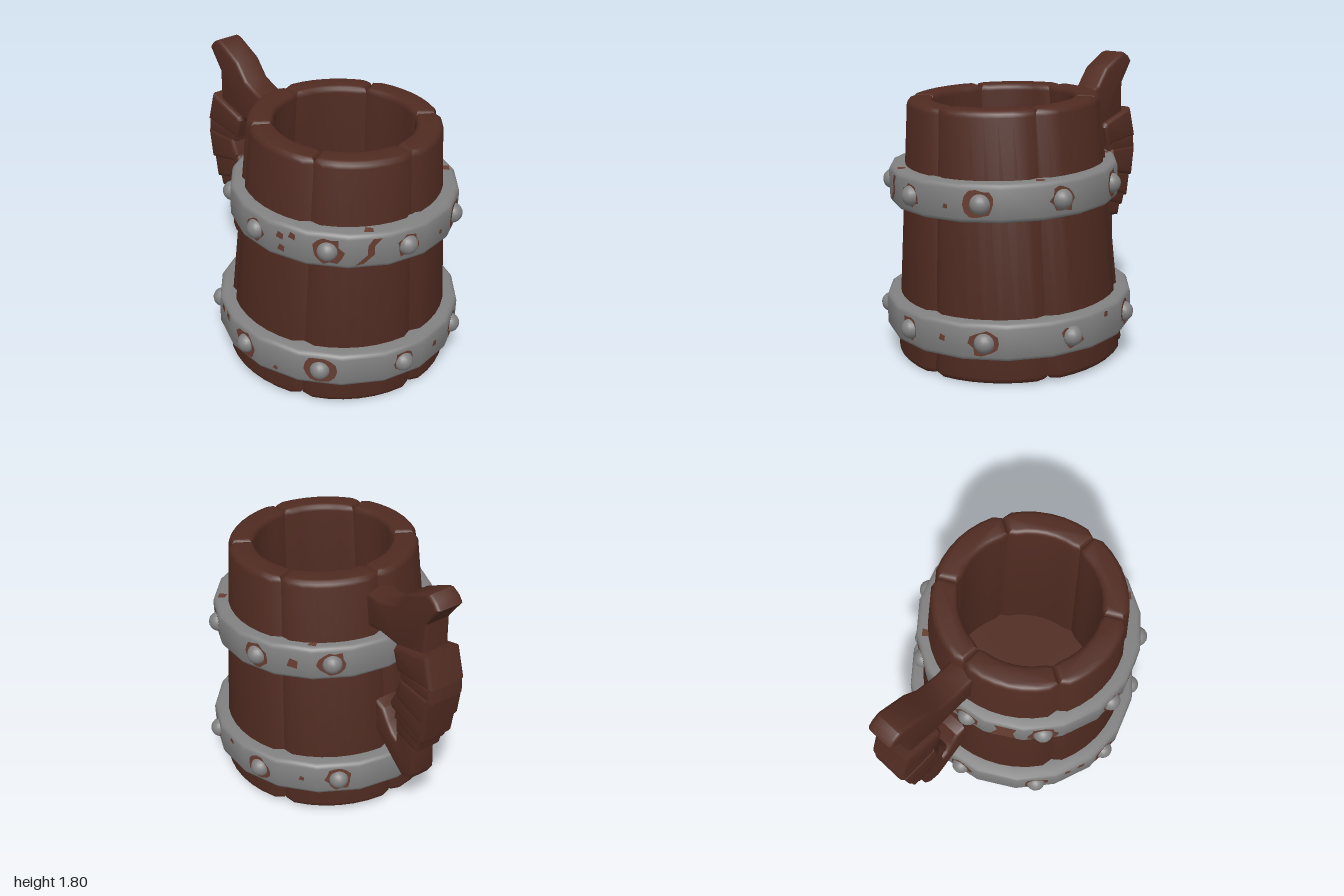
import * as THREE from 'three';
import { toCreasedNormals } from 'three/addons/utils/BufferGeometryUtils.js';

const wood = new THREE.MeshStandardMaterial({ color: 0x502b21 });
wood.name = 'wood';
const iron = new THREE.MeshStandardMaterial({ color: 0x808080 });
iron.name = 'iron';
const rust = new THREE.MeshStandardMaterial({ color: 0x673d31 });
rust.name = 'rust';

const CENTRE_Z = -0.025;
const BASE_R = 0.71, TOP_R = 0.585, HEIGHT = 1.595;

let seed = 7;
function rand() {
  seed = (seed * 16807) % 2147483647;
  return seed / 2147483647;
}

function add(parent, name, geometry, material) {
  const mesh = new THREE.Mesh(geometry, material);
  mesh.name = name;
  parent.add(mesh);
  return mesh;
}

const toShape = pts => new THREE.Shape(pts.map(p => new THREE.Vector2(p[0], p[1])));

// Extruded outline with rounded rims, kept inside the outline
function bevelled(pts, depth, bevel) {
  const g = new THREE.ExtrudeGeometry(toShape(pts), {
    depth: depth - 2 * bevel, bevelThickness: bevel, bevelSize: bevel,
    bevelOffset: -bevel, bevelSegments: 3, steps: 1,
  });
  return g.translate(0, 0, bevel);
}

// One curved stave, rolling off softly to its seams and narrowing upward
function staveGeometry() {
  const half = Math.PI / 6, flat = half - 0.1, n = 6, inner = 0.515;
  const polar = (r, a) => [r * Math.cos(a), r * Math.sin(a)];
  const pts = [polar(BASE_R - 0.03, -half)];
  for (let i = 0; i <= n; i++) pts.push(polar(BASE_R, flat * (2 * i / n - 1)));
  pts.push(polar(BASE_R - 0.03, half), polar(inner + 0.02, half));
  for (let i = 0; i <= n; i++) pts.push(polar(inner, flat * (1 - 2 * i / n)));
  pts.push(polar(inner + 0.02, -half));
  const g = bevelled(pts, HEIGHT, 0.038).rotateX(-Math.PI / 2);
  const p = g.attributes.position;
  for (let i = 0; i < p.count; i++) {
    const s = 1 + (TOP_R / BASE_R - 1) * p.getY(i) / HEIGHT;
    p.setXYZ(i, p.getX(i) * s, p.getY(i), p.getZ(i) * s);
  }
  return toCreasedNormals(g, 0.75);
}

// Irregular ring of rust around a rivet
function rustShape(radius) {
  const pts = [];
  for (let i = 0; i < 14; i++) {
    const a = i / 14 * Math.PI * 2, r = radius * (0.8 + 0.4 * rand());
    pts.push([r * Math.cos(a), Math.max(-0.085, Math.min(0.085, r * Math.sin(a)))]);
  }
  return new THREE.ShapeGeometry(toShape(pts));
}

// Iron band of 18 faces, with nine rivets and rust marks on the faces and top rim
function hoop(name, radius, x, y, marks, rimMarks) {
  const group = new THREE.Group();
  group.name = name;
  group.position.set(x, y, 0);
  const h = 0.113, c = 0.028, inner = radius - 0.12;
  const profile = [
    [inner, -h], [radius - c, -h], [radius - c * 0.3, -h + c * 0.3], [radius, -h + c],
    [radius, h - c], [radius - c * 0.3, h - c * 0.3], [radius - c, h], [inner, h], [inner, -h],
  ].map(p => new THREE.Vector2(...p));
  add(group, 'band', toCreasedNormals(new THREE.LatheGeometry(profile, 18, Math.PI / 18), 0.85), iron);

  const apothem = radius * Math.cos(Math.PI / 18);
  const face = degrees => {
    const holder = new THREE.Group();
    holder.name = 'bandFace';
    holder.rotation.y = Math.PI / 2 - degrees * Math.PI / 180;
    group.add(holder);
    return holder;
  };
  for (let i = 0; i < 9; i++) {
    const f = face(90 + i * 40);
    add(f, 'rivet', new THREE.SphereGeometry(0.062, 16, 12), iron).position.z = apothem - 0.008;
    add(f, 'rustRing', rustShape(0.07 + 0.028 * rand()), rust).position.z = apothem + 0.003;
  }
  for (const [degrees, pts] of marks) {
    add(face(degrees), 'rustMark', new THREE.ShapeGeometry(toShape(pts)), rust).position.z = apothem + 0.003;
  }
  for (const [degrees, pts] of rimMarks) {
    const g = new THREE.ShapeGeometry(toShape(pts)).rotateX(-Math.PI / 2);
    add(face(degrees), 'rustRimMark', g, rust).position.set(0, h + 0.003, apothem - 0.05);
  }
  return group;
}

const speck = (x, y, r) => [[x - r, y - r * 0.6], [x + r * 0.8, y - r], [x + r, y + r * 0.5], [x - r * 0.4, y + r]];
const crack = [[-0.08, -0.085], [-0.03, -0.075], [0.03, -0.02], [0.03, 0.04], [0.07, 0.085], [0.02, 0.085], [-0.01, 0.04], [-0.01, -0.02]];
const stain = [[-0.08, -0.07], [0.08, -0.08], [0.06, 0], [0.08, 0.085], [-0.06, 0.085], [-0.04, 0.02]];

function tankardBody() {
  const body = new THREE.Group();
  body.name = 'body';
  body.position.set(0.187, 0.03, CENTRE_Z);
  body.rotation.z = -0.035;

  const stave = staveGeometry();
  for (let i = 0; i < 6; i++) {
    add(body, 'stave', stave, wood).rotation.y = (i + 0.5) * Math.PI / 3;
  }
  add(body, 'floor', new THREE.CylinderGeometry(0.53, 0.54, 0.08, 36), wood).position.y = 0.2;

  body.add(hoop('upperHoop', 0.703, 0.018, 1.09, [
    [30, crack], [150, stain], [70, speck(-0.05, 0.04, 0.025)], [70, speck(0.03, 0.06, 0.024)],
    [70, speck(-0.04, -0.04, 0.024)], [-10, speck(0.03, -0.02, 0.016)], [-130, speck(0, 0, 0.035)],
  ], [[30, speck(0, 0, 0.03)], [-60, speck(0, 0, 0.03)], [-140, speck(0, 0, 0.028)]]));
  body.add(hoop('lowerHoop', 0.77, 0, 0.28, [
    [110, speck(-0.05, 0.07, 0.026)], [110, speck(0.05, 0.07, 0.03)], [70, speck(-0.02, -0.06, 0.016)],
    [-10, speck(0, 0.01, 0.022)], [-130, speck(0.03, 0, 0.018)], [-90, speck(0, 0.07, 0.02)],
  ], []));
  return body;
}

function handle() {
  const group = new THREE.Group();
  group.name = 'handle';
  group.position.z = CENTRE_Z;
  const piece = (name, pts, depth, bevel) => {
    const g = bevelled(pts, depth, bevel).translate(0, 0, -depth / 2);
    add(group, name, toCreasedNormals(g, 0.6), wood);
  };

  // Forked branch running into the rim
  piece('upperBranch', [
    [-0.985, 1.74], [-0.95, 1.78], [-0.9, 1.805], [-0.87, 1.8], [-0.7, 1.71], [-0.61, 1.6], [-0.47, 1.545],
    [-0.33, 1.54], [-0.33, 1.31], [-0.47, 1.335], [-0.63, 1.33], [-0.7, 1.25], [-0.88, 1.3], [-0.88, 1.6],
  ], 0.185, 0.025);

  // Core and overlapping slanted wraps of the grip
  piece('gripCore', [
    [-0.88, 1.38], [-0.68, 1.33], [-0.74, 1.1], [-0.68, 0.9], [-0.67, 0.66], [-0.8, 0.66], [-0.88, 0.9], [-0.95, 1.15],
  ], 0.17, 0.03);
  const wraps = [
    [0.26, [[-0.935, 1.43], [-0.66, 1.35], [-0.645, 1.32], [-0.685, 1.19], [-0.995, 1.225]]],
    [0.255, [[-0.985, 1.24], [-0.7, 1.24], [-0.72, 1.12], [-0.995, 1.13]]],
    [0.275, [[-0.985, 1.16], [-0.725, 1.17], [-0.685, 1.06], [-0.7, 1.01], [-0.955, 0.955]]],
    [0.245, [[-0.955, 0.98], [-0.69, 1.065], [-0.615, 0.93], [-0.63, 0.895], [-0.925, 0.81]]],
    [0.225, [[-0.925, 0.87], [-0.66, 0.94], [-0.645, 0.82], [-0.885, 0.75]]],
    [0.2, [[-0.89, 0.81], [-0.65, 0.88], [-0.65, 0.71], [-0.855, 0.68]]],
  ];
  for (const [depth, pts] of wraps) piece('gripWrap', pts, depth, 0.03);

  // Hooked lower end returning to the staves
  piece('lowerBranch', [
    [-0.81, 0.74], [-0.65, 0.74], [-0.64, 0.63], [-0.6, 0.65], [-0.55, 0.71], [-0.5, 0.78], [-0.43, 0.805],
    [-0.43, 0.59], [-0.65, 0.43], [-0.71, 0.39], [-0.79, 0.42], [-0.82, 0.47],
  ], 0.17, 0.025);
  return group;
}

export function createModel() {
  seed = 7;
  const model = new THREE.Group();
  model.name = 'tankard';
  model.add(tankardBody(), handle());
  return model;
}
